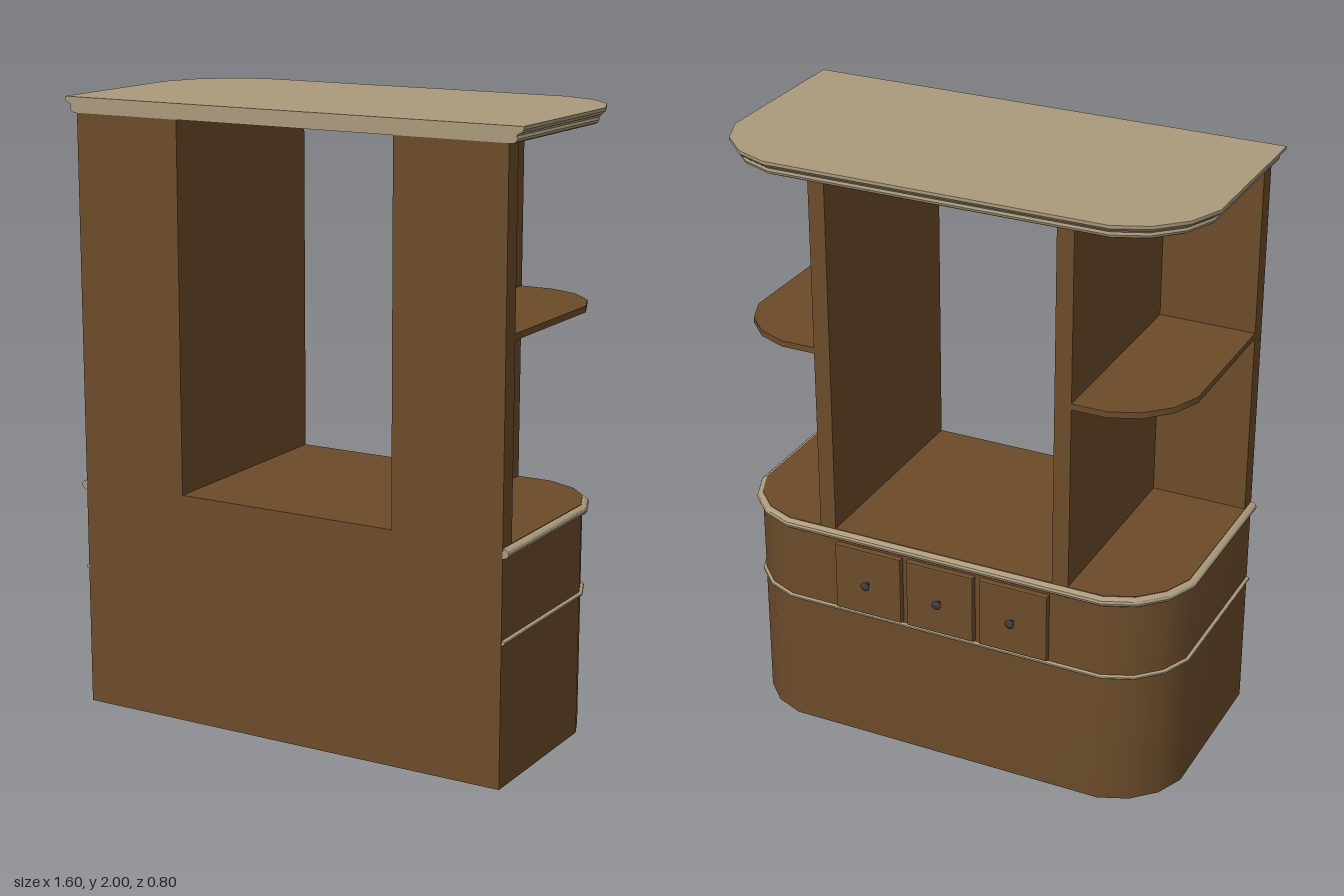
import * as THREE from 'three';
import { toCreasedNormals } from 'three/addons/utils/BufferGeometryUtils.js';

const wood = new THREE.MeshStandardMaterial({ color: 0x6b4b2a });
const trim = new THREE.MeshStandardMaterial({ color: 0xab9a7c });
const metal = new THREE.MeshStandardMaterial({ color: 0x3c3c3c });

const CX = 0.5, CZ = -0.095, R = 0.255; // rounded corner centre and radius
const STEP = Math.PI / 8;

// one faceted rounded corner, grown outwards by off
function corner(off) {
  const r = (R + off) / Math.cos(STEP / 2);
  return [0.5, 1.5, 2.5, 3.5].map(k =>
    [CX + r * Math.cos(k * STEP), CZ - r * Math.sin(k * STEP)]);
}

// cabinet plan: straight at +z, rounded at -z
function plan(off, front) {
  const c = corner(off), w = CX + R + off;
  const m = c.map(([x, z]) => [-x, z]).reverse();
  return [[w, front], ...c, ...m, [-w, front]];
}

// stack of plan outlines following a [offset, y] profile, capped at both ends
function loft(profile, front = 0.4, outline = plan) {
  const rings = profile.map(([off, y]) => outline(off, front).map(([x, z]) => [x, y, z]));
  const pos = [];
  const tri = (a, b, c) => pos.push(...a, ...b, ...c);
  const n = rings[0].length;
  for (let i = 0; i + 1 < rings.length; i++) {
    for (let j = 0; j < n; j++) {
      const k = (j + 1) % n, lo = rings[i], hi = rings[i + 1];
      tri(lo[j], lo[k], hi[k]);
      tri(lo[j], hi[k], hi[j]);
    }
  }
  const bottom = rings[0], top = rings[rings.length - 1];
  for (let j = 1; j + 1 < n; j++) {
    tri(top[0], top[j], top[j + 1]);
    tri(bottom[0], bottom[j + 1], bottom[j]);
  }
  const g = new THREE.BufferGeometry();
  g.setAttribute('position', new THREE.Float32BufferAttribute(pos, 3));
  return toCreasedNormals(g, 0.5);
}

function add(parent, name, geometry, material, x = 0, y = 0, z = 0) {
  const mesh = new THREE.Mesh(geometry, material);
  mesh.name = name;
  mesh.position.set(x, y, z);
  parent.add(mesh);
  return mesh;
}

// half-round moulding profile between two heights
function bead(y0, y1, out) {
  const p = [];
  for (let i = 0; i <= 6; i++) {
    const a = Math.PI * (i / 6 - 0.5);
    p.push([out * Math.cos(a), (y0 + y1) / 2 + (y1 - y0) / 2 * Math.sin(a)]);
  }
  return p;
}

export function createModel() {
  const group = new THREE.Group();
  group.name = 'cabinet';

  // lower cabinet with its mouldings
  add(group, 'baseCabinet', loft([[0, 0], [0, 0.76]]), wood);
  add(group, 'counterMoulding', loft(bead(0.726, 0.758, 0.02)), trim).scale.z = 0.998;
  add(group, 'middleMoulding', loft(bead(0.458, 0.472, 0.011)), trim).scale.z = 0.998;

  // stepped cornice
  add(group, 'cornice', loft([
    [0.014, 1.95], [0.023, 1.955], [0.026, 1.963], [0.023, 1.971], [0.027, 1.977],
    [0.036, 1.98], [0.041, 1.985], [0.045, 1.99], [0.045, 2]]), trim);

  // front panels, upright dividers and corner shelves, mirrored
  for (const s of [1, -1]) {
    const side = s > 0 ? 'left' : 'right';
    add(group, side + 'FrontPanel', new THREE.BoxGeometry(0.375, 1.19, 0.06), wood,
      s * 0.5675, 1.355, 0.37);
    add(group, side + 'Divider', new THREE.BoxGeometry(0.055, 1.19, 0.69), wood,
      s * 0.4075, 1.355, -0.005);
    const shelf = (off, front) => {
      const p = [[CX + R, front], ...corner(off), [0.435, CZ - R], [0.435, front]];
      return s > 0 ? p : p.map(([x, z]) => [-x, z]).reverse();
    };
    add(group, side + 'Shelf', loft([[0, 1.372], [0, 1.392]], 0.34, shelf), wood);
  }

  // three drawers with bevelled fronts and turned knobs
  const w = 0.112, h = 0.112, bevel = 0.006;
  const shape = new THREE.Shape([[-w, -h], [w, -h], [w, h], [-w, h]]
    .map(([x, y]) => new THREE.Vector2(x, y)));
  const drawerGeo = new THREE.ExtrudeGeometry(shape, {
    depth: 0.014, bevelSize: bevel, bevelThickness: bevel, bevelSegments: 2 });
  const knobGeo = new THREE.LatheGeometry([
    [0.006, 0], [0.005, 0.012], [0.014, 0.016], [0.016, 0.021], [0.011, 0.026], [0, 0.028],
  ].map(([x, y]) => new THREE.Vector2(x, y)), 16);
  for (let i = -1; i <= 1; i++) {
    const drawer = new THREE.Group();
    drawer.name = 'drawer' + (i + 2);
    drawer.position.set(i * 0.256, 0.598, -0.352);
    add(drawer, 'drawerFront', drawerGeo, wood, 0, 0, -0.014);
    add(drawer, 'drawerKnob', knobGeo, metal, 0, 0, -0.02).rotation.x = -Math.PI / 2;
    group.add(drawer);
  }
  return group;
}
